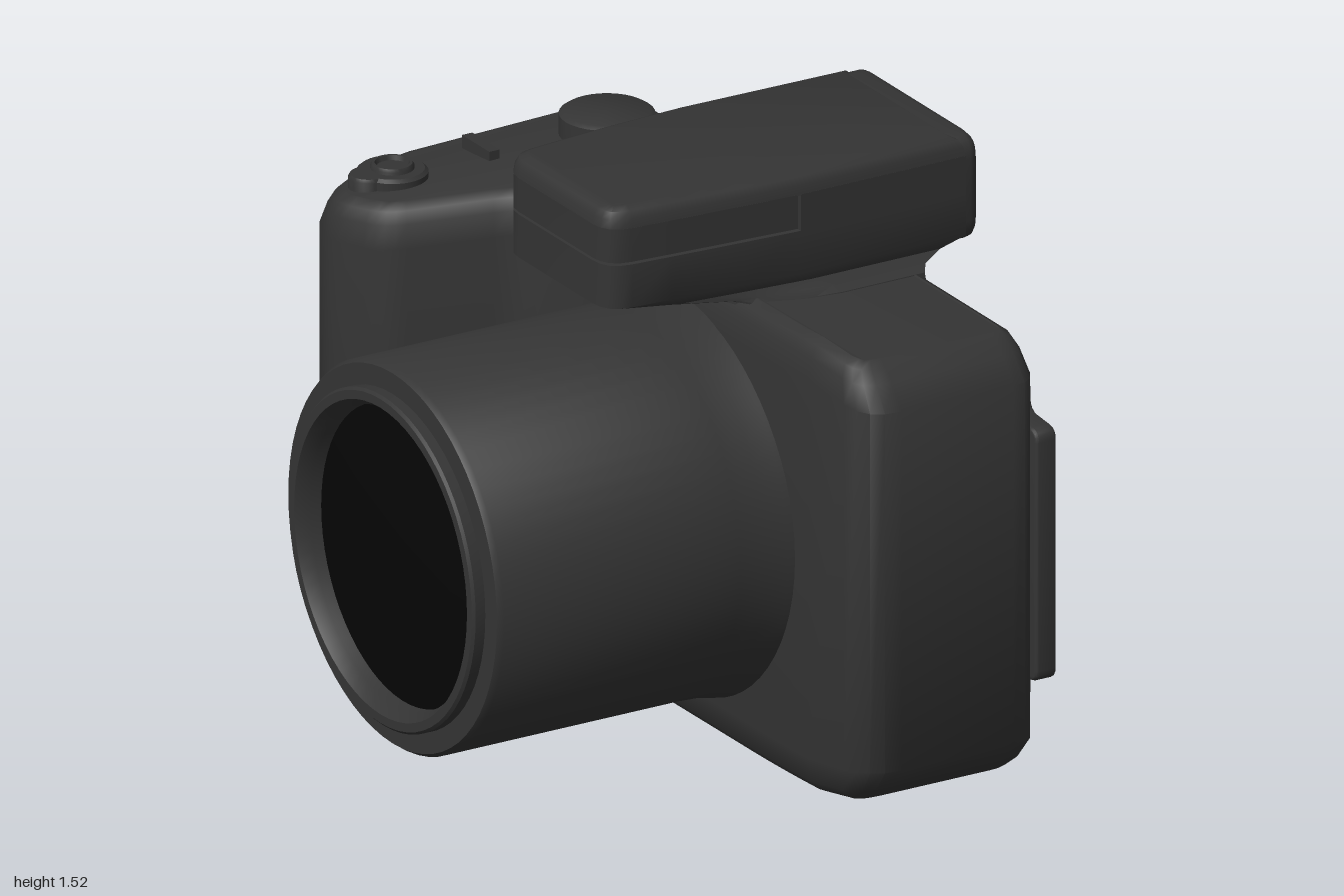
import * as THREE from 'three';
import { toCreasedNormals } from 'three/addons/utils/BufferGeometryUtils.js';

const mat = (color) => new THREE.MeshStandardMaterial({ color });
const dark = mat(0x343434), black = mat(0x060606), red = mat(0xa02020);

// Polygon of [a, b, radius] corners, each rounded within its shorter edge
function roundPoly(corners) {
  const out = [], n = corners.length;
  corners.forEach(([x, y, r = 0], i) => {
    const p = new THREE.Vector2(x, y);
    if (!r) return out.push(p);
    const edges = [corners[(i + n - 1) % n], corners[(i + 1) % n]]
      .map((c) => new THREE.Vector2(c[0], c[1]).sub(p));
    const reach = Math.min(r, ...edges.map((e) => e.length() * 0.45));
    const [a, b] = edges.map((e) => p.clone().addScaledVector(e.normalize(), reach));
    out.push(...new THREE.QuadraticBezierCurve(a, p, b).getPoints(4));
  });
  return out;
}

// Plan outline (x, z) stacked upward through rings of [height, inset]
function loft(corners, rings, rule) {
  const pts = roundPoly(corners).map((p) => new THREE.Vector2(p.x, -p.y));
  if (THREE.ShapeUtils.isClockWise(pts)) pts.reverse();
  const n = pts.length, pos = [], index = [];
  const normals = pts.map((p, i) => {
    const q = pts[(i + 1) % n];
    return new THREE.Vector2(p.y - q.y, q.x - p.x).normalize();
  });
  rings.forEach(([h, inset], k) => {
    pts.forEach((p, i) => {
      const a = normals[(i + n - 1) % n], b = normals[i];
      const m = a.clone().add(b).multiplyScalar(inset / (1 + a.dot(b)));
      const v = new THREE.Vector3(p.x + m.x, h, -p.y - m.y);
      if (rule) rule(v, k);
      pos.push(v.x, v.y, v.z);
      if (k) {
        const j = (i + 1) % n, lo = (k - 1) * n, hi = k * n;
        index.push(lo + i, lo + j, hi + j, lo + i, hi + j, hi + i);
      }
    });
  });
  const top = (rings.length - 1) * n;
  for (const [a, b, c] of THREE.ShapeUtils.triangulateShape(pts, [])) {
    index.push(top + a, top + b, top + c, c, b, a);
  }
  const geo = new THREE.BufferGeometry();
  geo.setAttribute('position', new THREE.Float32BufferAttribute(pos, 3));
  geo.setIndex(index);
  return toCreasedNormals(geo, 0.7);
}

// Outline in (z, y) extruded toward the back, from x0 to x1
function panel(corners, x0, x1, bevel, hole) {
  const flip = (c) => roundPoly(c.map(([z, y, r]) => [-z, y, r]));
  const shape = new THREE.Shape(flip(corners));
  if (hole) shape.holes.push(new THREE.Path(flip(hole)));
  const geo = new THREE.ExtrudeGeometry(shape, {
    depth: x1 - x0 - 2 * bevel, bevelThickness: bevel, bevelSize: bevel,
    bevelOffset: -bevel, bevelSegments: 3,
  });
  geo.rotateY(Math.PI / 2).translate(x0 + bevel, 0, 0);
  return toCreasedNormals(geo, 0.7);
}

const rect = (z0, z1, y0, y1, r) => [[z0, y0, r], [z1, y0, r], [z1, y1, r], [z0, y1, r]];

function lathe(profile, segments = 32) {
  const pts = profile.map(([r, h]) => new THREE.Vector2(r, h));
  return toCreasedNormals(new THREE.LatheGeometry(pts, segments), 0.6);
}

export function createModel() {
  const model = new THREE.Group();
  const add = (name, geo, material = dark) => {
    const mesh = new THREE.Mesh(geo, material);
    mesh.name = name;
    model.add(mesh);
    return mesh;
  };

  // Body with grip; the grip tip slopes, and both ends round off more strongly
  add('body', loft([
    [0.625, -1, 0.1], [-0.13, -1, 0.08], [-0.3, -0.93, 0.08], [-0.37, -0.77, 0.06],
    [-0.3, -0.61, 0.06], [0.02, -0.46, 0.08], [0.085, -0.3, 0.08],
    [0.09, 0.6, 0.15], [0.12, 1, 0.1], [0.625, 1, 0.08],
  ], [[0, 0.055], [0.01, 0.035], [0.035, 0.012], [0.1, 0], [1.11, 0], [1.17, 0.01], [1.2, 0.025], [1.215, 0.05]],
  (v) => {
    const tip = THREE.MathUtils.clamp((0.1 - v.x) / 0.45, 0, 1);
    const end = THREE.MathUtils.smoothstep(Math.abs(v.z), 0.75, 1);
    const edge = THREE.MathUtils.smoothstep(Math.abs(v.y - 0.605), 0.5, 0.61);
    v.y += v.y < 0.6 ? 0.07 * tip + 0.03 * end : -0.05 * tip - 0.02 * end;
    v.z *= 1 - 0.06 * edge * end;
  }));

  // Lens barrel with a slight mount fillet and a front ring
  const lens = new THREE.Group();
  lens.name = 'lens';
  lens.position.set(0, 0.615, 0.17);
  lens.rotation.z = Math.PI / 2;
  const barrel = new THREE.Mesh(lathe([
    [0.53, -0.13], [0.52, -0.08], [0.508, -0.02], [0.505, 0.05], [0.505, 0.735], [0.495, 0.75],
    [0.44, 0.75], [0.44, 0.778], [0.433, 0.785], [0.41, 0.785], [0.39, 0.75], [0.385, 0.65],
  ], 64), dark);
  barrel.name = 'lensBarrel';
  const glass = new THREE.Mesh(lathe([[0.388, 0.72], [0.25, 0.735], [0, 0.745]], 64), black);
  glass.name = 'lensGlass';
  lens.add(barrel, glass);
  model.add(lens);

  // Viewfinder and flash housing, split by a thin slit below the flash lid
  // Stations: x, right z, left z, corner radius
  const stations = [
    [-0.28, -0.07, 0.42, 0.07], [0, -0.1, 0.44, 0.1], [0.252, -0.113, 0.455], [0.26, -0.113, 0.455], [0.74, -0.107, 0.453],
  ];
  const housing = (from, to) => {
    const s = stations.slice(from, to);
    return [...s.map(([x, a, , r]) => [x, a, r]), ...s.reverse().map(([x, , b, r]) => [x, b, r])];
  };
  add('housingBase', loft(housing(0, 5),
    [[1.17, -0.035], [1.2, -0.03], [1.215, -0.01], [1.235, 0.01], [1.26, 0], [1.375, 0]],
    (v, k) => {
      const squeeze = [1, 1, 0.85, 0.4, 0, 0][k];
      v.x = THREE.MathUtils.lerp(v.x, 0.12 + (v.x + 0.28) * 0.46, squeeze);
    }));
  add('flashLid', loft(housing(0, 3), [[1.382, 0], [1.472, 0]]));
  add('viewfinderBlock', loft(housing(3, 5), [[1.37, 0], [1.472, 0]]));
  add('housingTop', loft(housing(0, 5), [[1.47, 0], [1.495, 0.004], [1.513, 0.014], [1.522, 0.035]]));
  add('eyepieceFrame', panel(rect(-0.107, 0.453, 1.235, 1.52, 0.06), 0.64, 0.78, 0.025,
    rect(0.055, 0.385, 1.29, 1.465, 0.03)));
  add('eyepieceGlass', panel(rect(0.02, 0.42, 1.27, 1.48, 0.02), 0.7, 0.75, 0.005), black);

  // Folding screen with hinge notches
  add('screen', panel([
    [-0.46, 0.15, 0.015], [0.85, 0.15, 0.02], [0.88, 0.19, 0.02], [0.88, 0.27, 0.03], [1, 0.28, 0.03],
    [1, 0.95, 0.03], [0.88, 0.96, 0.03], [0.88, 1.03, 0.02], [0.85, 1.07, 0.02], [-0.46, 1.07, 0.015],
  ], 0.61, 0.67, 0.008));

  // Round controls; a dished one has a raised rim
  const knob = (name, r, h, x, y, z, { back = false, dished = false, material = dark } = {}) => {
    const crown = dished
      ? [[r * 0.92, h], [r * 0.8, h], [r * 0.72, h - 0.012], [0, h - 0.012]]
      : [[r * 0.9, h], [0, h]];
    const mesh = add(name, lathe([[r, 0], [r, h - 0.008], ...crown]), material);
    mesh.position.set(x, y, z);
    if (back) mesh.rotation.z = -Math.PI / 2;
  };
  knob('zoomLever', 0.09, 0.1, -0.17, 1.105, -0.78);
  knob('zoomLeverTab', 0.05, 0.1, -0.24, 1.105, -0.78);
  knob('shutterButton', 0.055, 0.115, -0.17, 1.105, -0.78, { dished: true });
  knob('modeDial', 0.12, 0.1, 0.41, 1.16, -0.71);
  knob('topButtonLarge', 0.075, 0.07, 0.44, 1.19, -0.32, { dished: true });
  knob('topButtonSmall', 0.057, 0.06, 0.265, 1.19, -0.32, { dished: true });
  const slider = add('powerSwitch', new THREE.BoxGeometry(0.03, 0.06, 0.13));
  slider.position.set(0.09, 1.185, -0.785);

  const back = { back: true, dished: true };
  knob('controlWheel', 0.13, 0.05, 0.6, 0.39, -0.745, back);
  knob('wheelCentre', 0.06, 0.055, 0.6, 0.39, -0.745, back);
  for (const [y, z] of [[0.575, -0.635], [0.2, -0.635], [0.2, -0.84]]) {
    knob('backButton', 0.05, 0.045, 0.6, y, z, back);
  }
  knob('lampRim', 0.035, 0.045, 0.6, 1.15, -0.385, { back: true });
  knob('lamp', 0.016, 0.05, 0.6, 1.15, -0.385, { back: true, material: red });

  return model;
}
